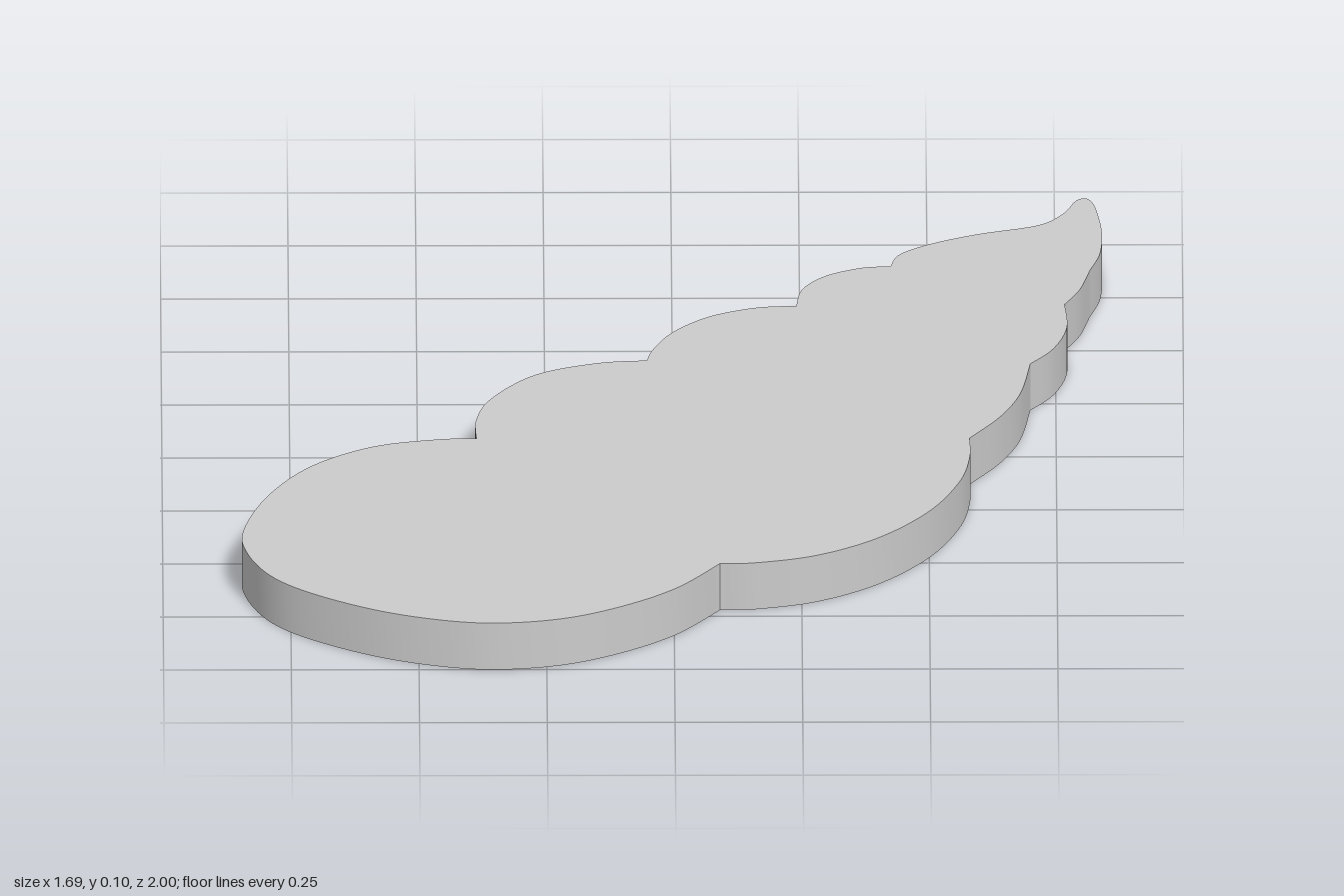
import * as THREE from 'three';
import { toCreasedNormals } from 'three/addons/utils/BufferGeometryUtils.js';

const THICKNESS = 0.1;

// Scalloped outline as [x, z]: each lobe is one smooth curve starting where the last one ended
const start = [-0.385, 0.13];
const lobes = [
  // wide rounded base
  [[-0.46, 0.133], [-0.59, 0.168], [-0.71, 0.26], [-0.795, 0.4], [-0.842, 0.56], [-0.836, 0.665], [-0.79, 0.775],
    [-0.71, 0.858], [-0.58, 0.94], [-0.45, 0.987], [-0.34, 1], [-0.215, 0.978], [-0.1, 0.92], [0.005, 0.835], [0.09, 0.72]],
  // lobes up the left edge
  [[0.16, 0.717], [0.28, 0.682], [0.4, 0.6], [0.5, 0.475], [0.56, 0.335], [0.58, 0.22], [0.58, 0.13]],
  [[0.64, 0.03], [0.68, -0.08], [0.7, -0.22]],
  [[0.745, -0.29], [0.772, -0.39], [0.768, -0.5]],
  [[0.798, -0.57], [0.818, -0.66]],
  // pointed tip
  [[0.838, -0.74], [0.842, -0.84], [0.832, -0.94], [0.822, -0.985], [0.808, -1], [0.79, -0.985], [0.765, -0.925],
    [0.715, -0.872], [0.6, -0.832], [0.505, -0.785], [0.445, -0.735], [0.428, -0.68]],
  // lobes down the right edge
  [[0.37, -0.673], [0.3, -0.635], [0.255, -0.573], [0.243, -0.495]],
  [[0.16, -0.485], [0.07, -0.443], [0, -0.37], [-0.038, -0.29], [-0.05, -0.238]],
  [[-0.15, -0.225], [-0.27, -0.17], [-0.355, -0.06], [-0.385, 0.04], [-0.385, 0.13]],
];

export function createModel() {
  const group = new THREE.Group();
  const shape = new THREE.Shape();
  shape.moveTo(start[0], -start[1]);
  for (const lobe of lobes) shape.splineThru(lobe.map(([x, z]) => new THREE.Vector2(x, -z)));

  // flat plate with sharp rims and smooth lobed walls
  const plate = new THREE.ExtrudeGeometry(shape, { depth: THICKNESS, bevelEnabled: false, curveSegments: 6 });
  plate.rotateX(-Math.PI / 2);
  const mesh = new THREE.Mesh(toCreasedNormals(plate, 0.45), new THREE.MeshStandardMaterial({ color: 0xcccccc }));
  mesh.name = 'scallopedPlate';
  group.add(mesh);
  return group;
}
